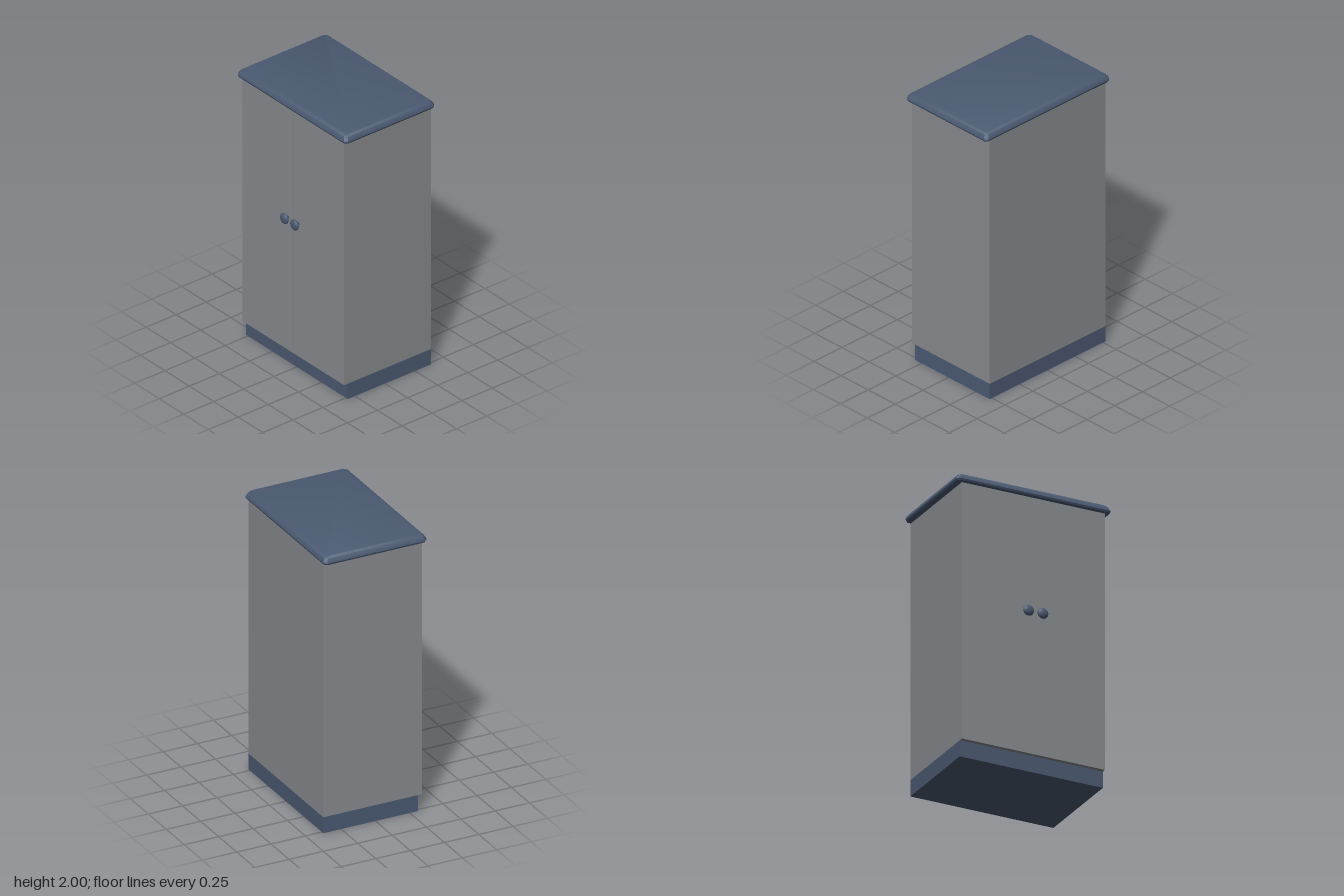
import * as THREE from 'three';
import { toCreasedNormals } from 'three/addons/utils/BufferGeometryUtils.js';

const bodyGrey = new THREE.MeshStandardMaterial({ name: 'bodyGrey', color: 0x888b8e });
const trimBlue = new THREE.MeshStandardMaterial({ name: 'trimBlue', color: 0x4b5a72 });

function addMesh(parent, name, geometry, material) {
  const mesh = new THREE.Mesh(geometry, material);
  mesh.name = name;
  parent.add(mesh);
  return mesh;
}

// Box given by its min and max corners
function addBox(parent, name, [x0, y0, z0], [x1, y1, z1], material) {
  const mesh = addMesh(parent, name, new THREE.BoxGeometry(x1 - x0, y1 - y0, z1 - z0), material);
  mesh.position.set((x0 + x1) / 2, (y0 + y1) / 2, (z0 + z1) / 2);
  return mesh;
}

// Slab with a moulded edge: stacked rectangles with clipped corners, [height, inset]
function mouldedSlab(halfX, halfZ, clip, profile) {
  const positions = [];
  const indices = [];
  const n = 8;
  for (const [y, inset] of profile) {
    const a = halfX - inset;
    const b = halfZ - inset;
    const ring = [
      [a, b - clip], [a, clip - b], [a - clip, -b], [clip - a, -b],
      [-a, clip - b], [-a, b - clip], [clip - a, b], [a - clip, b],
    ];
    for (const [x, z] of ring) positions.push(x, y, z);
  }
  const last = profile.length - 1;
  for (let r = 0; r < last; r++) {
    for (let i = 0; i < n; i++) {
      const j = (i + 1) % n;
      const a = r * n + i;
      const b = r * n + j;
      indices.push(a, b, b + n, a, b + n, a + n);
    }
  }
  // Bottom and top caps
  for (let i = 1; i < n - 1; i++) {
    indices.push(0, i + 1, i);
    indices.push(last * n, last * n + i, last * n + i + 1);
  }
  const geometry = new THREE.BufferGeometry();
  geometry.setAttribute('position', new THREE.Float32BufferAttribute(positions, 3));
  geometry.setIndex(indices);
  return toCreasedNormals(geometry, 0.6);
}

export function createModel() {
  const model = new THREE.Group();
  model.name = 'wardrobe';

  // Recessed plinth and main carcass
  addBox(model, 'plinth', [-0.52, 0, -0.38], [0.52, 0.115, 0.31], trimBlue);
  addBox(model, 'carcass', [-0.52, 0.115, -0.38], [0.52, 1.945, 0.312], bodyGrey);

  // Moulded top board
  const top = addMesh(model, 'topBoard', mouldedSlab(0.56, 0.375, 0.018, [
    [1.938, 0.018], [1.945, 0.005], [1.957, 0], [1.972, 0.004], [1.988, 0.014], [2, 0.028],
  ]), trimBlue);
  top.position.z = -0.015;

  // Knob profile: thin stem and flattened round head, turned to face forward
  const knobProfile = [new THREE.Vector2(0, 0), new THREE.Vector2(0.01, 0), new THREE.Vector2(0.01, 0.018)];
  for (let i = 1; i <= 12; i++) {
    const t = -Math.PI / 2 + (i / 12) * Math.PI;
    knobProfile.push(new THREE.Vector2(i === 12 ? 0 : 0.038 * Math.cos(t), 0.034 + 0.018 * Math.sin(t)));
  }
  const knobGeometry = new THREE.LatheGeometry(knobProfile, 24).rotateX(Math.PI / 2);

  // Pair of doors with knobs beside the centre seam
  for (const [side, s] of [['left', 1], ['right', -1]]) {
    const xs = [s * 0.001, s * 0.52].sort((a, b) => a - b);
    addBox(model, side + 'Door', [xs[0], 0.115, 0.312], [xs[1], 1.945, 0.34], bodyGrey);
    const knob = addMesh(model, side + 'Knob', knobGeometry, trimBlue);
    knob.position.set(s * 0.052, 1.115, 0.338);
  }
  return model;
}
